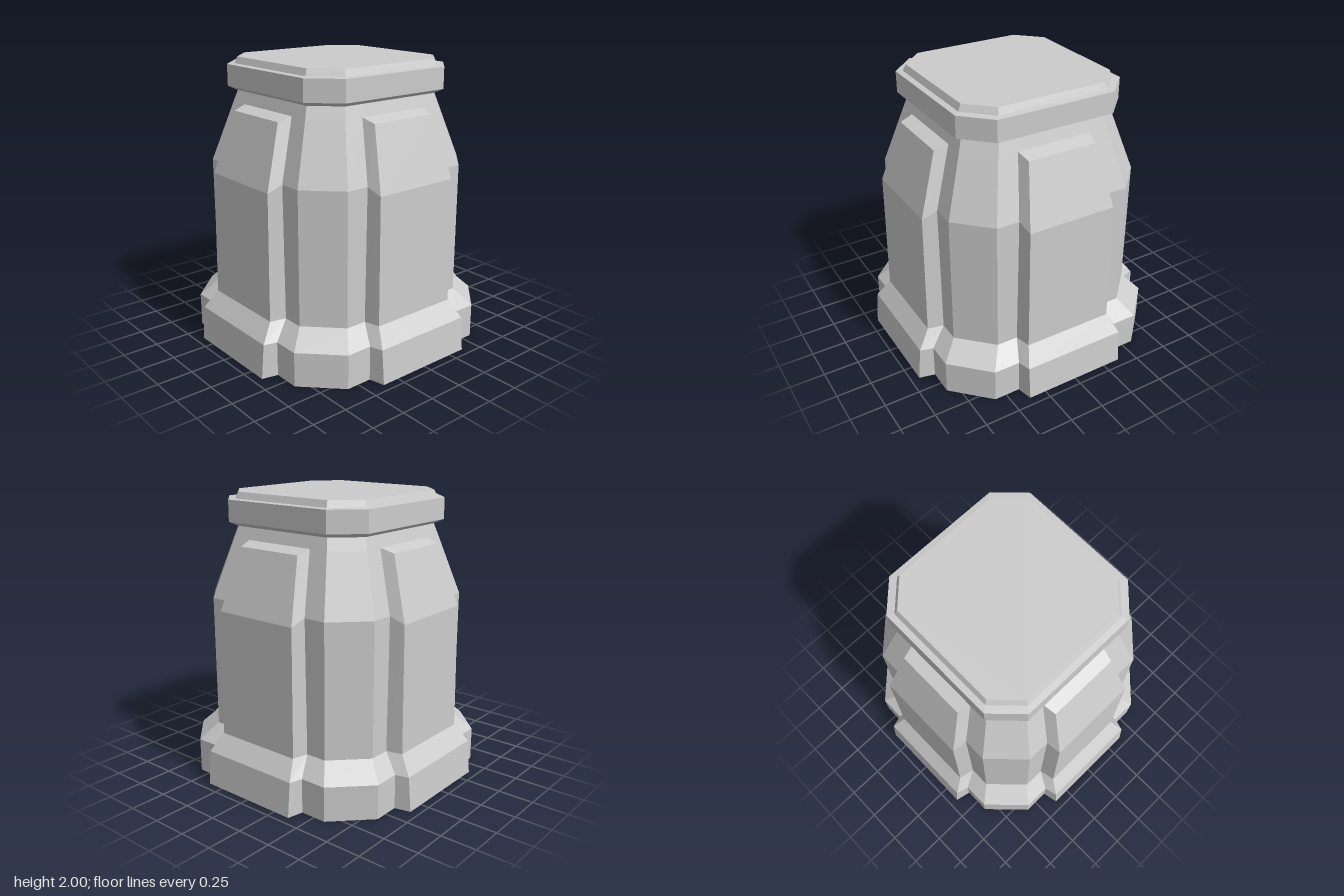
import * as THREE from 'three';

// Repeats one side's points around the four sides, giving a closed ring
function ringOf(side) {
  const ring = [];
  for (let k = 0; k < 4; k++) {
    const a = k * Math.PI / 2;
    for (const p of side) ring.push(new THREE.Vector3(...p).applyAxisAngle(new THREE.Vector3(0, 1, 0), a));
  }
  return ring;
}

// Skins a stack of rings with flat faces; optionally closes the top
function loft(rings, closeTop) {
  const points = [];
  const tri = (a, b, c) => {
    const area = b.clone().sub(a).cross(c.clone().sub(a)).length();
    if (area > 1e-6) for (const p of [a, b, c]) points.push(p);
  };
  for (let j = 0; j + 1 < rings.length; j++) {
    const lo = rings[j], hi = rings[j + 1], n = lo.length;
    for (let i = 0; i < n; i++) {
      const k = (i + 1) % n;
      tri(lo[i], lo[k], hi[k]);
      tri(lo[i], hi[k], hi[i]);
    }
  }
  if (closeTop) {
    const top = rings[rings.length - 1];
    for (let i = 1; i + 1 < top.length; i++) tri(top[0], top[i], top[i + 1]);
  }
  const geometry = new THREE.BufferGeometry().setFromPoints(points);
  geometry.computeVertexNormals();
  return geometry;
}

// One side of the body: chamfered wall with a raised panel in the middle
const bodySide = ([w, c, pi, yi, d, po, yo]) => [
  [-c, yi, w], [-pi, yi, w], [-po, yo, d],
  [po, yo, d], [pi, yi, w], [c, yi, w],
];

export function createModel() {
  const group = new THREE.Group();
  const material = new THREE.MeshStandardMaterial({
    color: 0xcccccc, flatShading: true, side: THREE.DoubleSide,
  });
  const add = (name, geometry) => {
    const mesh = new THREE.Mesh(geometry, material);
    mesh.name = name;
    group.add(mesh);
  };

  // Hollow body, open below:
  // wall distance, chamfer start, panel foot x, wall y, panel distance, panel face x, panel y
  const bodyRows = [
    [0.83, 0.585, 0.40, 0, 0.94, 0.375, 0],
    [0.83, 0.585, 0.40, 0.24, 0.92, 0.375, 0.24],
    [0.72, 0.50, 0.35, 0.36, 0.83, 0.325, 0.36],
    [0.72, 0.50, 0.34, 1.28, 0.82, 0.32, 1.235],
    [0.586, 0.41, 0.27, 1.69, 0.68, 0.25, 1.66],
    [0.586, 0.41, 0.27, 1.69, 0.586, 0.27, 1.69],
    [0.56, 0.39, 0.26, 1.77, 0.56, 0.26, 1.77],
  ];
  add('body', loft(bodyRows.map((row) => ringOf(bodySide(row))), false));

  // Eight-sided cap: wall distance, chamfer start, height
  const capRows = [
    [0.56, 0.39, 1.77],
    [0.615, 0.43, 1.80],
    [0.615, 0.43, 1.95],
    [0.575, 0.40, 1.955],
    [0.555, 0.39, 2.0],
  ];
  add('cap', loft(capRows.map(([w, c, y]) => ringOf([[-c, y, w], [c, y, w]])), true));

  return group;
}
